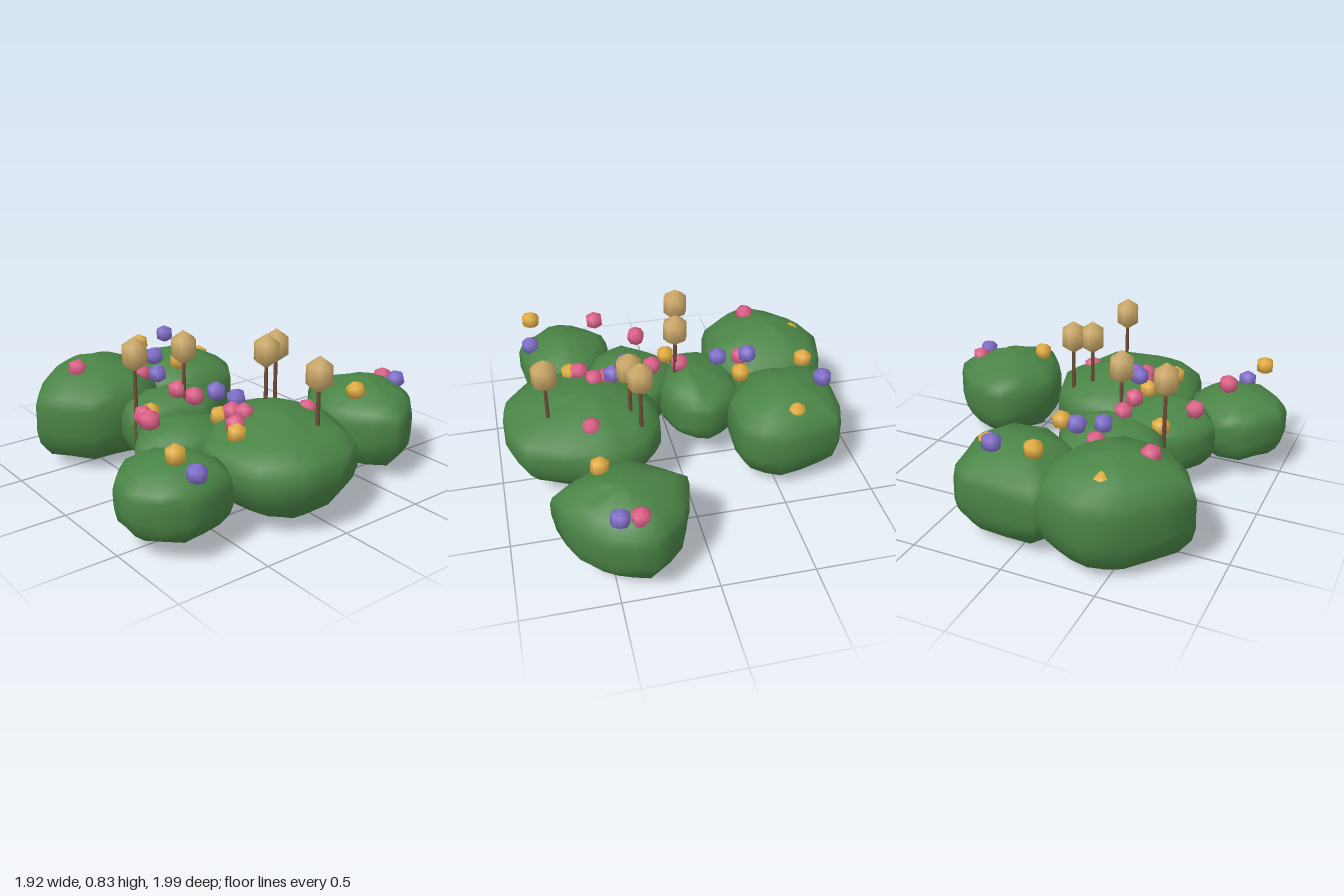
import * as THREE from 'three';
import { mergeVertices } from 'three/addons/utils/BufferGeometryUtils.js';

const paint = (name, color) => {
  const m = new THREE.MeshStandardMaterial({ color });
  m.name = name;
  return m;
};

// Bush profiles: [fraction of the way from the widest level to the apex, scale]
const DOME = [[0, 1], [0.25, 1], [0.5, 0.95], [0.7, 0.77], [0.87, 0.47], [0.96, 0.22], [1, 0]];
const BOWL = [[0.25, 0.99], [0.5, 0.95], [0.8, 0.78], [0.95, 0.5], [1, 0]];
const CONE = [[0.25, 0.93], [0.5, 0.82], [0.8, 0.58], [0.94, 0.3], [1, 0]];

// Bushes: bottom, top, sideways lean of the top, lower profile, plan outline [x, z] clockwise from above
const BUSHES = [
  { name: 'bushBack', y0: 0.03, y1: 0.5, lean: 0, under: BOWL,
    plan: [[.32, -1], [.52, -.95], [.675, -.81], [.775, -.58], [.55, -.42], [.32, -.39], [.066, -.59], [.15, -.85]] },
  { name: 'bushLeft', y0: 0, y1: 0.515, lean: -0.05, under: CONE,
    plan: [[.47, -.36], [.86, -.2], [.955, .02], [.945, .24], [.81, .41], [.46, .47], [.25, .33], [.1, .1], [.12, -.14], [.225, -.28]] },
  { name: 'bushFrontLeft', y0: 0.07, y1: 0.465, lean: 0, under: BOWL,
    plan: [[.56, .44], [.755, .51], [.81, .81], [.63, .98], [.46, .985], [.28, .82], [.28, .66], [.41, .47]] },
  { name: 'bushFrontRight', y0: 0.01, y1: 0.58, lean: 0, under: BOWL,
    plan: [[-.66, .08], [-.4, .16], [-.27, .34], [-.305, .65], [-.585, .84], [-.885, .6], [-.96, .4], [-.885, .15]] },
  { name: 'bushBackRight', y0: 0.02, y1: 0.525, lean: 0, under: BOWL,
    plan: [[-.88, -.24], [-.82, -.355], [-.49, -.42], [-.305, -.3], [-.283, -.05], [-.45, .19], [-.71, .21], [-.9, .13]] },
  { name: 'bushMiddle', y0: 0.08, y1: 0.48, lean: 0.07, under: BOWL,
    plan: [[-.17, -.085], [-.02, 0], [.06, .16], [-.08, .5], [-.26, .49], [-.39, .34], [-.385, .05]] },
  { name: 'bushInner', y0: 0.1, y1: 0.46, lean: 0.08, under: BOWL,
    plan: [[.1, .13], [.3, .15], [.45, .35], [.38, .58], [.19, .69], [0, .55], [-.08, .35]] },
];

// Flower centres [x, y, z]
const PINK = [[.37, .445, -.885], [.5, .455, -.18], [-.43, .485, .25], [-.07, .49, .25], [.09, .5, .25], [.43, .5, .19],
  [.36, .49, .21], [.5, .485, .3], [.12, .485, .59], [.35, .56, .7], [-.55, .55, .59]];
const YELLOW = [[.51, .48, -.525], [-.6, .45, -.28], [-.74, .55, .06], [-.37, .53, .03], [-.03, .42, .45], [.31, .46, .25],
  [.55, .465, .33], [.72, .545, .81], [-.79, .49, .44]];
const PURPLE = [[.47, .455, -.885], [-.78, .56, -.15], [-.44, .565, .15], [-.29, .515, .23], [.24, .565, .22],
  [.33, .54, .16], [.74, .43, .71]];

// Reed positions [x, z]
const REEDS = [[-.1, .495], [-.04, .225], [.235, -.185], [.275, -.085], [.715, -.05]];

// Lumpy bush: the plan outline shrinks toward the bottom and top apex
function bushGeometry({ plan, y0, y1, lean, under }, rand) {
  const points = plan.map(([x, z]) => new THREE.Vector3(x, 0, z));
  const curve = new THREE.CatmullRomCurve3(points, true, 'catmullrom', 0.2);
  const centre = new THREE.Box3().setFromPoints(points).getCenter(new THREE.Vector3());
  const top = centre.clone().add(new THREE.Vector3(lean, y1, 0));
  const bottom = centre.clone().add(new THREE.Vector3(-lean, y0, 0));
  const n = plan.length * 2, mid = (y0 + y1) / 2;
  const levels = [
    ...[...under].reverse().map(([t, s]) => [bottom, t, s]),
    ...DOME.map(([t, s]) => [top, t, s]),
  ];
  const pos = [], index = [];
  levels.forEach(([apex, t, s], i) => {
    const y = mid + (apex.y - mid) * t;
    for (let j = 0; j < n; j++) {
      const v = curve.getPoint(j / n);
      const k = s === 1 ? 1 : s * (0.98 + 0.04 * rand());
      const dy = s === 0 ? 0 : (rand() - 0.5) * 0.016;
      pos.push(apex.x + (v.x - apex.x) * k, y + dy, apex.z + (v.z - apex.z) * k);
      if (i < levels.length - 1) {
        const q = i * n + j, r = i * n + (j + 1) % n;
        index.push(q, q + n, r, r, q + n, r + n);
      }
    }
  });
  const geo = new THREE.BufferGeometry();
  geo.setAttribute('position', new THREE.Float32BufferAttribute(pos, 3));
  geo.setIndex(index);
  const merged = mergeVertices(geo, 1e-5);
  merged.computeVertexNormals();
  return merged;
}

export function createModel() {
  const group = new THREE.Group();
  group.name = 'flowerBushes';
  let seed = 7;
  const rand = () => (seed = (seed * 16807) % 2147483647) / 2147483647;

  const green = paint('leafGreen', 0x4a8446);
  const brown = paint('stemBrown', 0x6f4e37);
  const tan = paint('reedTan', 0xcca968);

  const add = (parent, name, geo, mat, x = 0, y = 0, z = 0) => {
    const mesh = new THREE.Mesh(geo, mat);
    mesh.name = name;
    mesh.position.set(x, y, z);
    parent.add(mesh);
    return mesh;
  };

  // Bushes
  for (const bush of BUSHES) add(group, bush.name, bushGeometry(bush, rand), green);

  // Flowers
  const bud = new THREE.SphereGeometry(0.055, 8, 3);
  const plantFlowers = (name, mat, spots) => {
    for (const [x, y, z] of spots) {
      const flower = add(group, name, bud, mat, x, y, z);
      flower.rotation.set((rand() - 0.5) * 0.4, rand() * 3, (rand() - 0.5) * 0.4);
    }
  };
  plantFlowers('pinkFlower', paint('pink', 0xde6088), PINK);
  plantFlowers('yellowFlower', paint('yellow', 0xe3ad40), YELLOW);
  plantFlowers('purpleFlower', paint('purple', 0x806ecb), PURPLE);

  // Reeds: thin stem with a long seed head
  const stem = new THREE.CylinderGeometry(0.01, 0.015, 0.55, 6);
  const head = new THREE.SphereGeometry(0.077, 8, 3).scale(1, 1.25, 1);
  for (const [x, z] of REEDS) {
    const reed = new THREE.Group();
    reed.name = 'reed';
    reed.position.set(x, 0, z);
    add(reed, 'reedStem', stem, brown, 0, 0.385, 0);
    add(reed, 'reedHead', head, tan, 0, 0.732, 0);
    group.add(reed);
  }
  return group;
}
